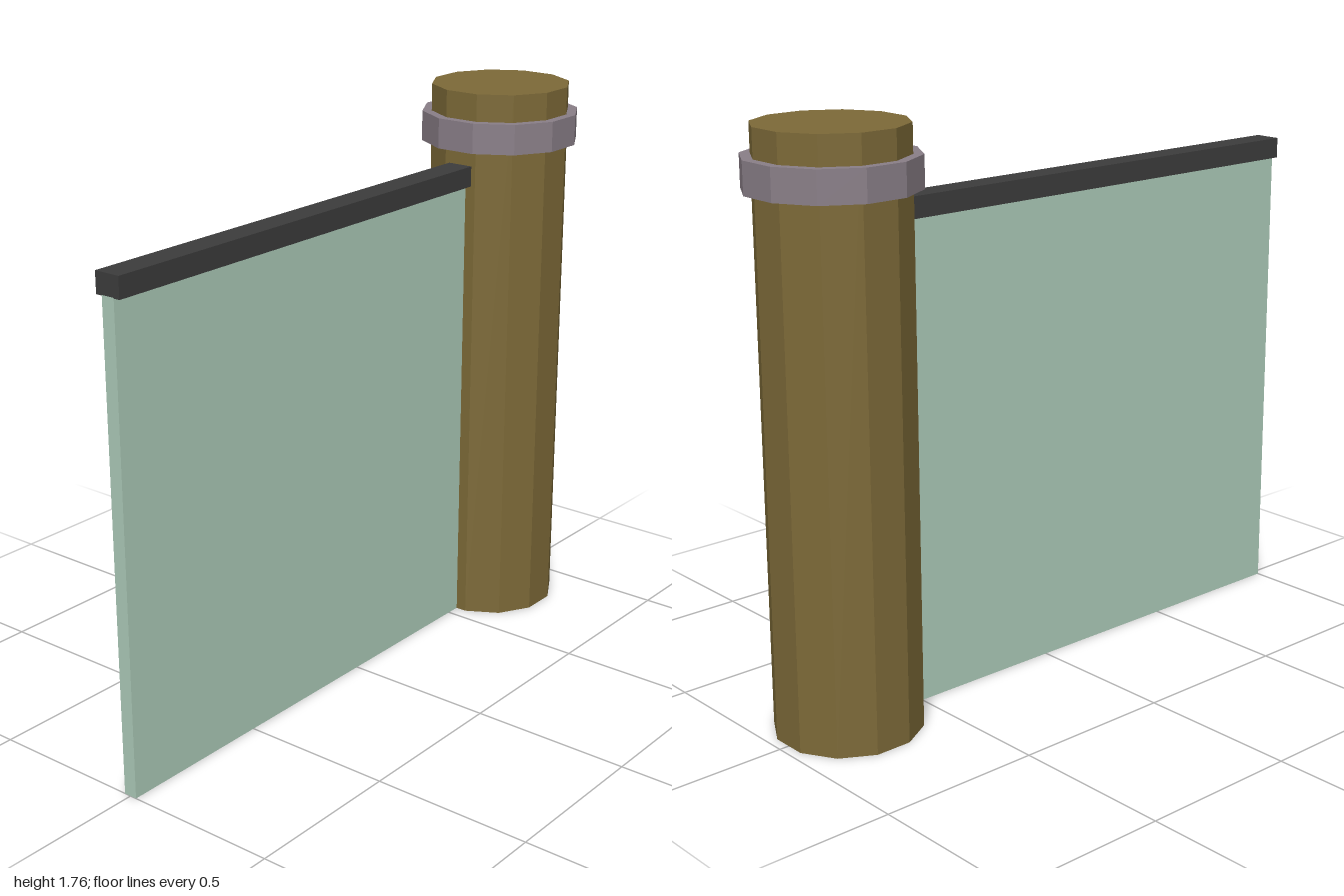
import * as THREE from 'three';

const POST_X = 0.757;

export function createModel() {
  const model = new THREE.Group();

  function add(name, geometry, color, x, y) {
    const material = new THREE.MeshStandardMaterial({ color, flatShading: true });
    const mesh = new THREE.Mesh(geometry, material);
    mesh.name = name;
    mesh.position.set(x, y, 0);
    model.add(mesh);
  }

  // Twelve-sided prism with flats facing the x and z axes
  function prism(radius, height) {
    return new THREE.CylinderGeometry(radius, radius, height, 12).rotateY(Math.PI / 12);
  }

  // Round post with a band near its top
  add('post', prism(0.22, 1.76), 0x7d6a38, POST_X, 0.88);
  add('postBand', prism(0.25, 0.095), 0x8a7f88, POST_X, 1.627);

  // Glass panel and its top rail, both running into the post
  const end = 0.62;
  const length = end + 1;
  const middle = (end - 1) / 2;
  add('glassPanel', new THREE.BoxGeometry(length, 1.47, 0.043), 0xadcbb9, middle, 0.735);
  add('topRail', new THREE.BoxGeometry(length, 0.064, 0.084), 0x3c3c3c, middle, 1.5);

  return model;
}
